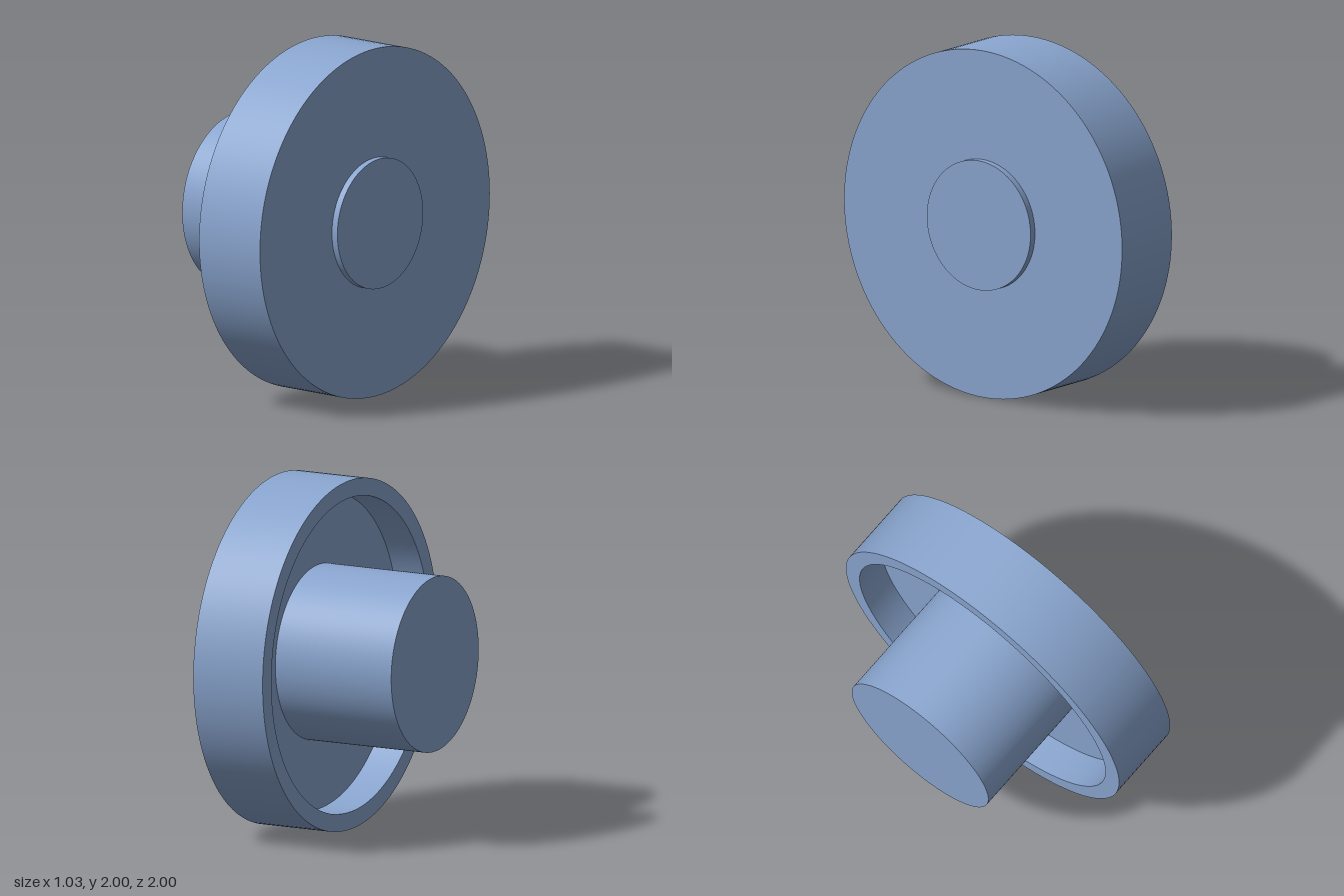
import * as THREE from 'three';
import { toCreasedNormals } from 'three/addons/utils/BufferGeometryUtils.js';

const SEGMENTS = 128;

export function createModel() {
  const model = new THREE.Group();
  model.name = 'steppedWheel';
  const steel = new THREE.MeshStandardMaterial({ color: 0x8aa6d0 });
  steel.name = 'steel blue';

  // All parts turn about one horizontal axis, laid along x at y = 1
  const add = (name, geometry, x = 0) => {
    geometry.rotateZ(-Math.PI / 2);
    const mesh = new THREE.Mesh(geometry, steel);
    mesh.name = name;
    mesh.position.set(x, 1, 0);
    model.add(mesh);
  };
  const addCylinder = (name, radius, from, to) =>
    add(name, new THREE.CylinderGeometry(radius, radius, to - from, SEGMENTS), (from + to) / 2);

  // Wheel disc, hollowed on the hub side: [radius, position along axis]
  const profile = [
    [0, 0.23], [0.9, 0.23], [0.9, 0.03], [1, 0.03], [1, 0.477], [0, 0.477],
  ].map(([r, a]) => new THREE.Vector2(r, a));
  add('disc', toCreasedNormals(new THREE.LatheGeometry(profile, SEGMENTS), 0.6));

  // Long hub rising from the recess floor, and low boss on the other face
  addCylinder('hub', 0.5, -0.517, 0.25);
  addCylinder('boss', 0.373, 0.46, 0.517);

  return model;
}
